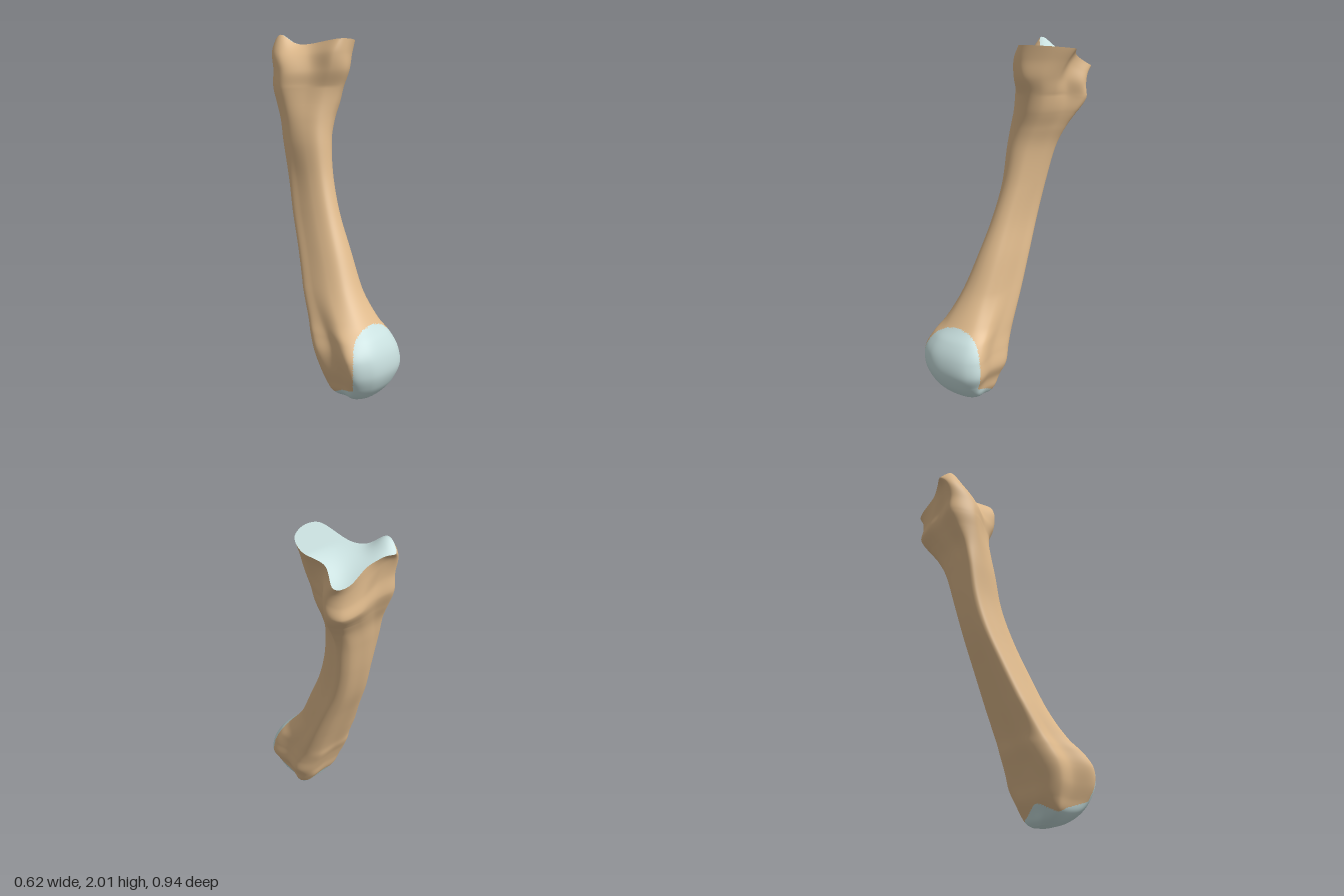
import * as THREE from 'three';

const SEG = 160;  // points round each section
const STEP = 10;  // rings between two listed levels

// Cross-section outlines (x, z), running front, +x, back, -x
const OUTLINES = [
  // head
  [[-0.1, 0.47], [0.035, 0.45], [0.09, 0.4], [0.08, 0.27], [0.1, 0.15], [0.03, 0.08],
    [-0.1, 0.08], [-0.22, 0.08], [-0.295, 0.15], [-0.28, 0.26], [-0.31, 0.39], [-0.22, 0.455]],
  // shaft, with ridges along both back edges
  [[-0.05, 0.14], [0.01, 0.12], [0.05, 0.06], [0.08, -0.02], [0.1, -0.09], [0.06, -0.135],
    [-0.03, -0.15], [-0.11, -0.15], [-0.165, -0.125], [-0.165, -0.05], [-0.15, 0.05], [-0.11, 0.12]],
  // base, with a groove on the +x side
  [[0.1, -0.01], [0.17, -0.05], [0.21, -0.13], [0.23, -0.23], [0.3, -0.31], [0.27, -0.39],
    [0.17, -0.415], [0.06, -0.4], [-0.06, -0.41], [-0.12, -0.28], [-0.04, -0.14], [0.02, -0.05]],
  // rim of the joint facet
  [[0.13, 0], [0.25, -0.06], [0.31, -0.2], [0.27, -0.29], [0.31, -0.39], [0.25, -0.42],
    [0.13, -0.42], [0.06, -0.445], [0, -0.47], [-0.02, -0.39], [0.06, -0.25], [0.065, -0.02]],
];

// Levels: y, x min, x max, z min, z max, outline (fractions blend neighbours)
const LEVELS = [
  [0, -0.12, 0, 0.2, 0.29, 0.5],
  [0.02, -0.18, 0.03, 0.17, 0.35, 0.4],
  [0.06, -0.235, 0.055, 0.145, 0.4, 0.2],
  [0.12, -0.265, 0.07, 0.11, 0.445, 0],
  [0.2, -0.298, 0.105, 0.085, 0.472, 0],
  [0.29, -0.31, 0.1, 0.05, 0.462, 0],
  [0.37, -0.29, 0.095, 0.015, 0.42, 0.2],
  [0.45, -0.26, 0.097, -0.01, 0.345, 0.6],
  [0.6, -0.22, 0.1, -0.07, 0.24, 1],
  [0.8, -0.17, 0.1, -0.15, 0.14, 1],
  [1, -0.13, 0.1, -0.23, 0.045, 1],
  [1.2, -0.105, 0.12, -0.285, -0.025, 1],
  [1.4, -0.11, 0.16, -0.325, -0.06, 1.2],
  [1.52, -0.112, 0.215, -0.35, -0.068, 1.45],
  [1.62, -0.116, 0.275, -0.39, -0.058, 1.75],
  [1.72, -0.12, 0.305, -0.425, -0.04, 2],
  [1.82, -0.11, 0.307, -0.425, -0.004, 2.2],
  [1.92, -0.085, 0.307, -0.445, 0, 2.6],
  [2, -0.022, 0.31, -0.47, 0, 3],
];

// Outline sampled smoothly and scaled to the unit square
const units = OUTLINES.map((o) => {
  const curve = new THREE.CatmullRomCurve3(o.map(([x, z]) => new THREE.Vector3(x, 0, z)), true);
  const pts = Array.from({ length: SEG }, (_, i) => curve.getPoint(i / SEG));
  const box = new THREE.Box3().setFromPoints(pts);
  const size = box.getSize(new THREE.Vector3());
  return pts.map((p) => [(p.x - box.min.x) / size.x, (p.z - box.min.z) / size.z]);
});

const ramp = THREE.MathUtils.smoothstep;

// Height of the saddle-shaped joint facet
function facetHeight(x, z) {
  const peak = 0.07 * Math.exp(-((x + 0.02) ** 2 + (z + 0.4) ** 2) / 0.005);
  return 1.975 + 0.1 * z + peak - 0.085 * ramp(-z, 0.2, 0.42) * ramp(x, 0.05, 0.3);
}

// Smooth value between two listed levels
function levelAt(t) {
  const k = Math.min(Math.floor(t), LEVELS.length - 2), f = t - k;
  const at = (i) => LEVELS[THREE.MathUtils.clamp(i, 0, LEVELS.length - 1)];
  const a = at(k - 1), b = at(k), c = at(k + 1), d = at(k + 2);
  return b.map((_, j) => {
    const m0 = (c[j] - a[j]) / 2, m1 = (d[j] - b[j]) / 2;
    return b[j] + f * (m0 + f * (3 * (c[j] - b[j]) - 2 * m0 - m1 + f * (2 * (b[j] - c[j]) + m0 + m1)));
  });
}

function ring(t) {
  const [y, x0, x1, z0, z1, s] = levelAt(t);
  const k = THREE.MathUtils.clamp(Math.floor(s), 0, 2);
  const f = THREE.MathUtils.clamp(s - k, 0, 1);
  return units[k].map((a, i) => {
    const b = units[k + 1][i];
    const x = x0 + (x1 - x0) * (a[0] + (b[0] - a[0]) * f);
    const z = z0 + (z1 - z0) * (a[1] + (b[1] - a[1]) * f);
    // the upper end is stretched to meet the facet rim
    const h = y > 1.6 ? 1.6 + (y - 1.6) * (facetHeight(x, z) - 1.6) / 0.4 : y;
    return [x, h, z];
  });
}

// Skin over rings, all ordered counter-clockwise seen from outside
function skin(rings, pole) {
  const pos = rings.flat(2), index = [];
  for (let j = 0; j < rings.length - 1; j++) {
    for (let i = 0; i < SEG; i++) {
      const a = j * SEG + i, b = j * SEG + (i + 1) % SEG;
      index.push(a, b, b + SEG, a, b + SEG, a + SEG);
    }
  }
  if (pole) {
    pos.push(...pole);
    for (let i = 0; i < SEG; i++) index.push(rings.length * SEG, (i + 1) % SEG, i);
  }
  const g = new THREE.BufferGeometry();
  g.setAttribute('position', new THREE.Float32BufferAttribute(pos, 3));
  g.setIndex(index);
  g.computeVertexNormals();
  return g;
}

// Area of the head covered with cartilage: front face and underside with a back lobe
function onHeadCartilage(x, y, z) {
  if (y > 0.47) return false;
  const front = z > 0.355 + 0.05 * ((x + 0.1) / 0.2) ** 4;
  const lobe = 0.07 * Math.exp(-(((x + 0.13) / 0.09) ** 2));
  return front || y < 0.025 + 0.5 * Math.max(z - 0.2, 0) + lobe;
}

export function createModel() {
  const group = new THREE.Group();
  const boneMat = new THREE.MeshStandardMaterial({ color: 0xdfba8c });
  const cartilageMat = new THREE.MeshStandardMaterial({ color: 0xc8dfde });
  const add = (name, geometry, material) => {
    const mesh = new THREE.Mesh(geometry, material);
    mesh.name = name;
    group.add(mesh);
  };

  // Whole bone: head, shaft and base in one skin
  const count = (LEVELS.length - 1) * STEP;
  const rings = Array.from({ length: count + 1 }, (_, j) => ring(j / STEP));
  const body = skin(rings, [-0.06, -0.002, 0.245]);

  // Split the skin into bone and head cartilage, sharing normals
  const p = body.attributes.position, idx = body.index.array;
  const bone = [], cartilage = [];
  for (let i = 0; i < idx.length; i += 3) {
    const tri = [idx[i], idx[i + 1], idx[i + 2]];
    const mid = ['getX', 'getY', 'getZ'].map((get) => tri.reduce((sum, v) => sum + p[get](v), 0) / 3);
    (onHeadCartilage(...mid) ? cartilage : bone).push(...tri);
  }
  const part = (index) => {
    const g = new THREE.BufferGeometry();
    g.setAttribute('position', p);
    g.setAttribute('normal', body.attributes.normal);
    g.setIndex(index);
    return g;
  };
  add('bone', part(bone), boneMat);
  add('headCartilage', part(cartilage), cartilageMat);

  // Facet on the base: rim rings shrinking to the middle
  const rim = rings[count], cx = 0.16, cz = -0.24, facetRings = [];
  for (let j = 0; j <= 16; j++) {
    const k = 1 - j / 16;
    facetRings.push(rim.map(([x, , z]) => {
      const px = cx + (x - cx) * k, pz = cz + (z - cz) * k;
      return [px, facetHeight(px, pz), pz];
    }));
  }
  add('baseFacet', skin(facetRings), cartilageMat);

  return group;
}
